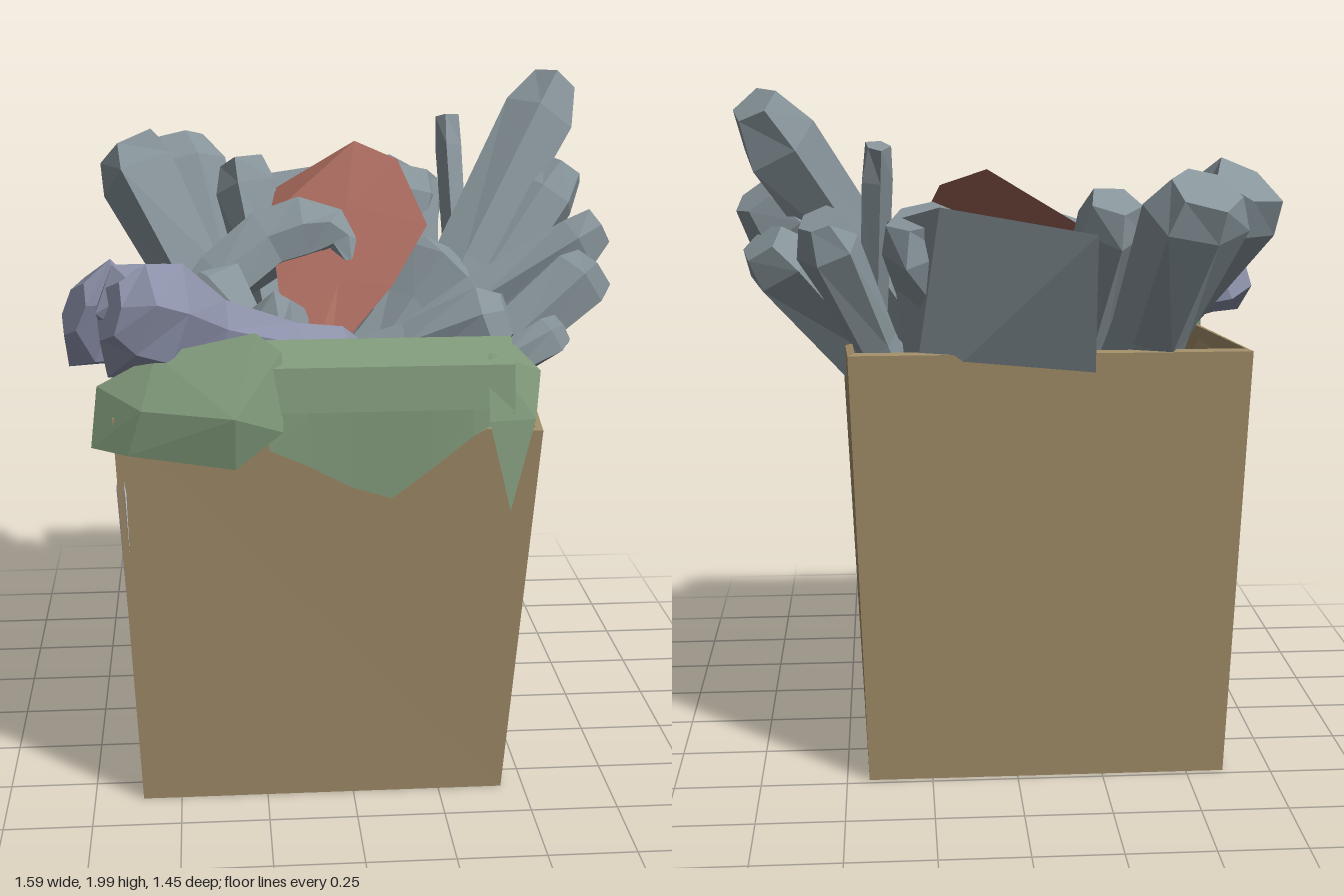
import * as THREE from 'three';
import { ConvexGeometry } from 'three/addons/geometries/ConvexGeometry.js';

const V = (p) => new THREE.Vector3(...p);
const mat = (color) => new THREE.MeshStandardMaterial({ color, flatShading: true, side: THREE.DoubleSide });
const card = mat(0xa08c68), steel = mat(0x87949a), violet = mat(0x8b90a8);
const green = mat(0x80997a), red = mat(0xa5685c), pale = mat(0xcccccc);

let seed = 7;
const rand = () => (seed = (seed * 16807) % 2147483647) / 2147483647;

function named(name, geometry, material) {
  const m = new THREE.Mesh(geometry, material);
  m.name = name;
  return m;
}

// Folded sheet: rows of points joined in a grid
function sheet(name, rows, material) {
  const n = rows[0].length, idx = [];
  for (let i = 0; i < rows.length - 1; i++)
    for (let j = 0; j < n - 1; j++) {
      const a = i * n + j, b = a + n;
      idx.push(a, b, a + 1, b, b + 1, a + 1);
    }
  const g = new THREE.BufferGeometry();
  g.setAttribute('position', new THREE.Float32BufferAttribute(rows.flat(2), 3));
  g.setIndex(idx);
  const flat = g.toNonIndexed();
  flat.computeVertexNormals();
  return named(name, flat, material);
}

// Faceted, slightly irregular bar through points, with one radius for each point
function bar(name, pts, radii, material, sides = 6) {
  const rows = pts.map((p, i) => {
    const dir = pts[Math.min(i + 1, pts.length - 1)].clone().sub(pts[Math.max(i - 1, 0)]).normalize();
    const u = new THREE.Vector3(0, 0, 1).cross(dir).normalize();
    const w = dir.clone().cross(u);
    const row = [];
    for (let k = 0; k < sides; k++) {
      const a = (k / sides) * Math.PI * 2, r = radii[i] * (0.85 + rand() * 0.35);
      row.push(p.clone().addScaledVector(u, Math.cos(a) * r).addScaledVector(w, Math.sin(a) * r).toArray());
    }
    return [...row, row[0]];
  });
  const cap = (p) => Array(sides + 1).fill(p.toArray());
  return sheet(name, [cap(pts[0]), ...rows, cap(pts[pts.length - 1])], material);
}

// Bar from foot to tip: profile entries are [share of the length, share of the radius]
function straightBar(name, foot, tip, radius, profile, material, sides) {
  const pts = profile.map(([t]) => V(foot).lerp(V(tip), t));
  return bar(name, pts, profile.map((p) => p[1] * radius), material, sides);
}
const barProfile = [[0, 0.8], [0.5, 0.9], [0.9, 1.05], [1, 0.75]];
const boneProfile = [[0, 0.5], [0.12, 0.7], [0.3, 0.58], [0.6, 0.6], [0.8, 1], [0.93, 1], [1, 0.5]];

// Solid chunk around a few corner points
const chunk = (name, points, material) => named(name, new ConvexGeometry(points.map(V)), material);

export function createModel() {
  const model = new THREE.Group();

  // Open tapered box; the rim dips towards the front, with a thin inner lining
  const base = [[-0.61, 0, 0.6], [0.435, 0, 0.6], [0.435, 0, 0.2], [0.435, 0, -0.48], [-0.61, 0, -0.48]];
  const rim = [[-0.66, 1.17, 0.66], [0.515, 1.11, 0.66], [0.51, 1.25, 0.2], [0.475, 1.27, -0.51], [-0.66, 1.27, -0.51]];
  const inset = ([x, y, z]) => [x - Math.sign(x) * 0.02, y + 0.005, z - Math.sign(z) * 0.02];
  const loop = (list) => [...list, list[0]];
  model.add(sheet('boxWalls', [base, rim, rim.map(inset), base.map(inset)].map(loop), card));
  model.add(sheet('boxBottom', [[base[0], base[1]], [base[4], base[3]]], card));
  model.add(sheet('innerFlap', [[[-0.64, 1.2, -0.45], [-0.64, 1.18, 0.25]],
    [[-0.53, 0.9, -0.25], [-0.52, 0.9, 0.25]]], card));

  // Pale sliver at the front left edge
  model.add(straightBar('paleSliver', [-0.605, 0.27, 0.59], [-0.635, 1.03, 0.635], 0.02, barProfile, pale, 4));

  // Metal bars: foot x, foot z, tip, radius
  const bars = new THREE.Group();
  bars.name = 'metalBars';
  const addBars = (name, footY, list) => list.forEach(([fx, fz, x, y, z, r], i) =>
    bars.add(straightBar(name + (i + 1), [fx, footY, fz], [x, y, z], r, barProfile, steel, 5 + (i % 2))));
  addBars('rightBar', 0.9, [
    [0.08, 0.17, 0.72, 1.95, -0.39, 0.1],
    [0.14, 0.08, 0.73, 1.69, -0.26, 0.1],
    [0.18, -0.05, 0.71, 1.57, -0.36, 0.1],
    [0.25, -0.1, 0.55, 1.64, -0.46, 0.08],
    [0.42, -0.1, 0.385, 1.84, -0.42, 0.045],
  ]);
  addBars('backBar', 0.9, [
    [-0.2, 0, -0.63, 1.74, -0.5, 0.13],
    [-0.28, -0.2, -0.49, 1.74, -0.63, 0.13],
    [-0.12, -0.1, -0.27, 1.69, -0.48, 0.1],
    [0.1, -0.2, 0.27, 1.65, -0.5, 0.11],
  ]);
  addBars('frontBar', 1.17, [
    [0.05, 0.23, 0.76, 1.58, 0.16, 0.075],
    [-0.08, 0.33, 0.45, 1.38, 0.42, 0.1],
    [0.3, 0.45, 0.71, 1.49, 0.31, 0.085],
    [0.25, 0.52, 0.6, 1.34, 0.44, 0.06],
    [0.1, 0.08, 0.34, 1.46, -0.08, 0.1],
    [-0.2, 0.18, -0.42, 1.38, 0, 0.12],
    [-0.42, 0.08, -0.12, 1.31, 0.19, 0.1],
  ]);
  model.add(bars);

  // Hooked piece curling over the middle
  const hook = new THREE.CatmullRomCurve3([[-0.5, 1.25, -0.02], [-0.2, 1.48, -0.13],
    [0, 1.52, -0.12], [0.04, 1.44, -0.03]].map(V));
  model.add(bar('hook', hook.getPoints(6), [0.05, 0.09, 0.1, 0.1, 0.085, 0.05, 0.015], steel));

  // Wide plate leaning against the back
  model.add(chunk('backPlate', [[-0.2, 1.62, -0.68], [0.22, 1.69, -0.62], [0.36, 1.63, -0.42],
    [0.33, 1.42, -0.2], [-0.22, 1.54, -0.48], [-0.22, 1.1, -0.46], [0.3, 1.1, -0.44], [0, 1.2, -0.32]], steel));

  // Red folded cloth sloping down to the front
  model.add(sheet('redCloth', [
    [[-0.17, 1.62, -0.39], [0.08, 1.77, -0.37], [0.21, 1.72, -0.3]],
    [[-0.2, 1.56, -0.2], [0.04, 1.6, -0.18], [0.28, 1.55, -0.08]],
    [[-0.18, 1.37, 0.02], [0, 1.4, 0.03], [0.16, 1.4, 0.08]],
    [[-0.08, 1.25, 0.22], [-0.04, 1.22, 0.23], [0, 1.25, 0.21]],
  ], red));

  // Violet bones with knobbed ends
  const bones = new THREE.Group();
  bones.name = 'bones';
  bones.add(straightBar('frontBone', [0.04, 1.2, 0.26], [-0.66, 1.45, 0.6], 0.15, boneProfile, violet));
  bones.add(straightBar('rearBone', [-0.18, 1.17, 0.13], [-0.77, 1.41, 0.4], 0.15, boneProfile, violet));
  const knob = named('boneKnob', new THREE.IcosahedronGeometry(0.14), violet);
  knob.position.set(-0.58, 1.44, 0.5);
  bones.add(knob);
  model.add(bones);

  // Green cloth over the front rim: each column runs inside, ridge, outside, hem
  const hems = [1.08, 1.03, 0.97, 0.935, 1.02, 1.11, 1.17];
  model.add(sheet('greenDrape', hems.map((hem, i) => {
    const x = -0.24 + i * 0.112;
    return [[x, 1.15, 0.52], [x, 1.31, 0.53], [x, 1.36, 0.58], [x, 1.3, 0.66],
      [x, 1.18, 0.68], [x, hem, 0.69]];
  }), green));
  model.add(chunk('greenTail', [[0.36, 1.33, 0.64], [0.44, 1.34, 0.6], [0.51, 1.27, 0.62],
    [0.49, 1.15, 0.68], [0.42, 0.9, 0.72], [0.36, 1.15, 0.7]], green));
  model.add(chunk('greenBundle', [[-0.72, 1.08, 0.63], [-0.7, 1.25, 0.62], [-0.54, 1.34, 0.64],
    [-0.27, 1.39, 0.62], [-0.2, 1.34, 0.64], [-0.2, 1.13, 0.69], [-0.33, 1.03, 0.7],
    [-0.62, 1.07, 0.68], [-0.33, 1.18, 0.73], [-0.58, 1.2, 0.7], [-0.6, 1.25, 0.6]], green));

  return model;
}
